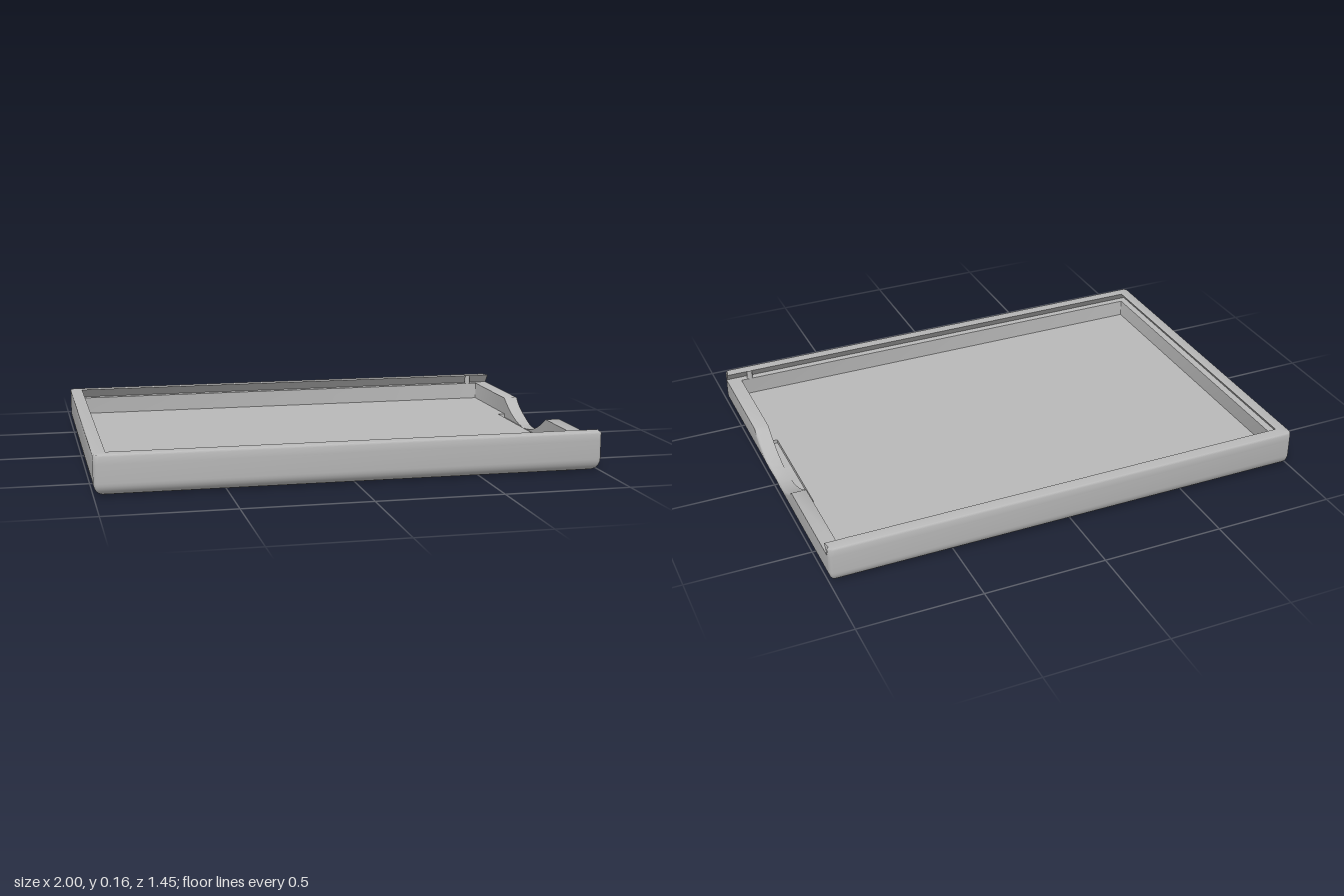
import * as THREE from 'three';
import { toCreasedNormals } from 'three/addons/utils/BufferGeometryUtils.js';

const HX = 1, HZ = 0.725, TOP = 0.16, LEDGE = 0.122, FLOOR = 0.05, BASE = 0.035;
const FILLET = 0.05, ROUND = 0.012, ARC = 5, CORNERS = 4 * (ARC + 1);
const SCOOP = 0.26, STEPS = 32;

// Height of the end wall, dipping in the thumb scoop
const wallTop = z => Math.min(LEDGE, BASE + (LEDGE - BASE) * (z / SCOOP) ** 2);
// Radius of the softened scoop edge, fading out at both ends
const edge = z => ROUND * Math.min(1, (LEDGE - wallTop(z)) / 0.02);
// How far the bottom fillet pulls the outside in
const inset = y => (y < FILLET ? FILLET - Math.sqrt(FILLET ** 2 - (FILLET - y) ** 2) : 0);

// Rounded rectangle: four corners, then points along the +x end
function loop(x0, x1, hz, r, y, endPoint = z => [x1, y]) {
  const pts = [];
  const centres = [[x1 - r, hz - r], [x0 + r, hz - r], [x0 + r, r - hz], [x1 - r, r - hz]];
  centres.forEach(([cx, cz], c) => {
    for (let i = 0; i <= ARC; i++) {
      const a = (c + i / ARC) * Math.PI / 2;
      pts.push(new THREE.Vector3(cx + r * Math.cos(a), y, cz + r * Math.sin(a)));
    }
  });
  for (let i = 0; i <= STEPS; i++) {
    const z = -SCOOP + 2 * SCOOP * i / STEPS;
    const [x, py] = endPoint(z);
    pts.push(new THREE.Vector3(x, py, z));
  }
  return pts;
}

function outerLoop(y) {
  const i = inset(y);
  return loop(i - HX, HX - i, HZ - i, Math.max(0.02 - i, 0.003), y, z => {
    const py = Math.min(y, wallTop(z) - edge(z));
    return [HX - inset(py), py];
  });
}

function geometryFrom(tris) {
  const g = new THREE.BufferGeometry().setFromPoints(tris);
  return toCreasedNormals(g, 0.6);
}

// Skin between successive loops, using the first n points of each
function skin(loops, n, closed) {
  const tris = [];
  for (let k = 0; k + 1 < loops.length; k++) {
    for (let j = 0; j < (closed ? n : n - 1); j++) {
      const m = (j + 1) % n;
      const a = loops[k][j], b = loops[k][m], c = loops[k + 1][j], d = loops[k + 1][m];
      tris.push(a, c, b, b, c, d);
    }
  }
  return tris;
}

// Tray: rounded bottom, outer walls, ledge, scoop and inner walls
function trayGeometry() {
  const loops = [];
  for (let i = 0; i <= 7; i++) loops.push(outerLoop(FILLET * (1 - Math.cos(i / 7 * Math.PI / 2))));
  loops.push(outerLoop(LEDGE));
  for (let i = 1; i <= 4; i++) {
    const a = i / 4 * Math.PI / 2;
    loops.push(loop(-HX, HX, HZ, 0.02, LEDGE, z => {
      const d = edge(z), lip = wallTop(z) - d;
      return [HX - inset(lip) - d * (1 - Math.cos(a)), lip + d * Math.sin(a)];
    }));
  }
  loops.push(loop(-0.95, 0.94, 0.675, 0.002, LEDGE, z => [0.94, wallTop(z)]));
  loops.push(loop(-0.95, 0.94, 0.675, 0.002, BASE));
  const n = loops[0].length, tris = skin(loops, n, true);
  const first = loops[0], last = loops[loops.length - 1];
  const low = new THREE.Vector3(0, 0, 0), high = new THREE.Vector3(0, BASE, 0);
  for (let j = 0; j < n; j++) {
    const m = (j + 1) % n;
    tris.push(low, first[j], first[m], high, last[m], last[j]);
  }
  return geometryFrom(tris);
}

// U-shaped rim with an undercut groove for a sliding lid
function rimGeometry() {
  const r = 0.008, loops = [loop(-HX, HX, HZ, 0.02, LEDGE)];
  for (let i = 0; i <= 4; i++) {
    const a = i / 4 * Math.PI / 2, d = r * (1 - Math.cos(a));
    loops.push(loop(d - HX, HX - d, HZ - d, 0.02 - d, TOP - r + r * Math.sin(a)));
  }
  loops.push(loop(-0.95, HX, 0.675, 0.002, TOP));
  loops.push(loop(-0.98, HX, 0.705, 0.002, LEDGE));
  const tris = skin(loops, CORNERS, false), e = CORNERS - 1;
  for (let k = 1; k + 1 < loops.length; k++) {
    tris.push(loops[0][0], loops[k + 1][0], loops[k][0]);
    tris.push(loops[0][e], loops[k][e], loops[k + 1][e]);
  }
  return geometryFrom(tris);
}

// Floor slab with a shallow recess beside the scoop
function floorGeometry() {
  const shape = new THREE.Shape([
    [-0.95, -0.675], [0.94, -0.675], [0.94, -0.25], [0.91, -0.25],
    [0.91, 0.25], [0.94, 0.25], [0.94, 0.675], [-0.95, 0.675],
  ].map(p => new THREE.Vector2(...p)));
  const g = new THREE.ExtrudeGeometry(shape, { depth: FLOOR - BASE, bevelEnabled: false });
  return g.rotateX(-Math.PI / 2).translate(0, BASE, 0);
}

export function createModel() {
  const group = new THREE.Group();
  const grey = new THREE.MeshStandardMaterial({ color: 0xb8b8b8 });
  grey.name = 'grey plastic';
  const add = (name, geometry) => {
    const mesh = new THREE.Mesh(geometry, grey);
    mesh.name = name;
    group.add(mesh);
    return mesh;
  };
  add('tray', trayGeometry());
  add('lidRim', rimGeometry());
  add('floor', floorGeometry());

  // Small catches in the groove near the open end
  for (const side of [1, -1]) {
    add(side > 0 ? 'frontCatch' : 'backCatch', new THREE.CylinderGeometry(0.012, 0.012, TOP - LEDGE, 16))
      .position.set(0.9, (TOP + LEDGE) / 2, side * 0.684);
  }
  return group;
}
